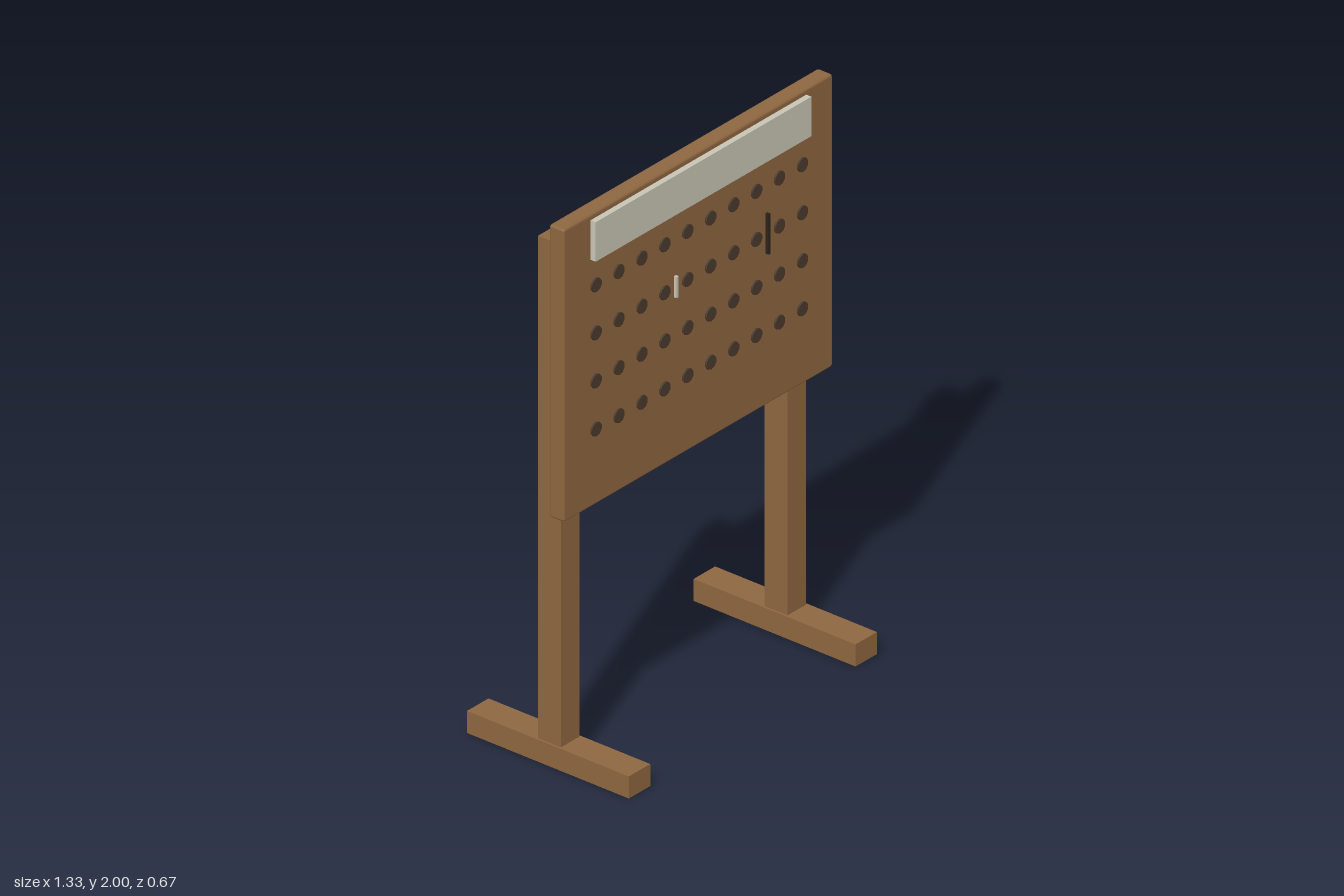
import * as THREE from 'three';
import { RoundedBoxGeometry } from 'three/addons/geometries/RoundedBoxGeometry.js';

export function createModel() {
  const root = new THREE.Group();
  root.name = 'pegboardStand';

  const material = (name, color) => {
    const m = new THREE.MeshStandardMaterial({ color });
    m.name = name;
    return m;
  };
  const wood = material('wood', 0x8d6640);
  const holeDark = material('holeBrown', 0x4a3a2c);
  const sheet = material('paleSheet', 0xc8c4b4);
  const iron = material('darkIron', 0x2b231c);

  const add = (name, geometry, mat, x, y, z) => {
    const mesh = new THREE.Mesh(geometry, mat);
    mesh.name = name;
    mesh.position.set(x, y, z);
    root.add(mesh);
    return mesh;
  };
  const box = (name, mat, w, h, d, x, y, z) =>
    add(name, new THREE.BoxGeometry(w, h, d), mat, x, y, z);

  // Posts and feet, mirrored
  for (const [side, s] of [['left', 1], ['right', -1]]) {
    box(side + 'Foot', wood, 0.106, 0.08, 0.667, s * 0.56, 0.04, 0);
    box(side + 'Post', wood, 0.091, 1.82, 0.094, s * 0.56, 0.99, 0);
  }

  // Board with softened edges
  add('board', new RoundedBoxGeometry(1.33, 1.06, 0.062, 1, 0.009), wood, 0, 1.47, 0.078);

  // Header plate
  box('headerPlate', sheet, 1.066, 0.143, 0.022, 0, 1.909, 0.119);

  // Grid of peg holes, as thin discs on the board face
  const disc = new THREE.CylinderGeometry(0.025, 0.025, 0.008, 10);
  disc.rotateX(Math.PI / 2);
  for (let row = 0; row < 4; row++) {
    for (let col = 0; col < 10; col++) {
      add('pegHole', disc, holeDark, (col - 4.5) * 0.1133, 1.738 - row * 0.174, 0.112);
    }
  }

  // Slim hanging pieces
  box('paleHanger', sheet, 0.01, 0.076, 0.012, -0.116, 1.564, 0.114);
  box('darkHanger', iron, 0.01, 0.146, 0.014, 0.336, 1.564, 0.115);

  return root;
}
